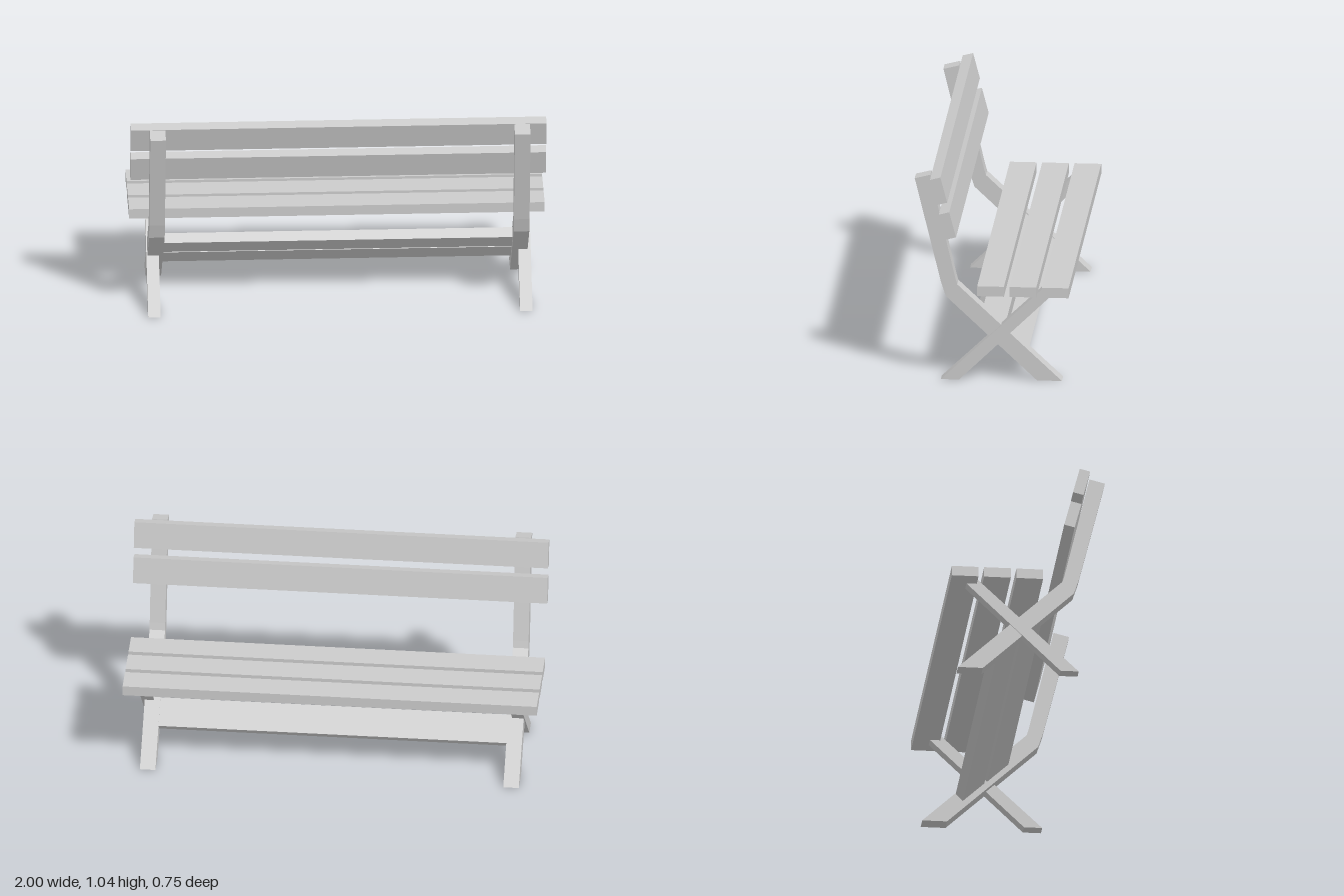
import * as THREE from 'three';

const material = new THREE.MeshStandardMaterial({ color: 0xcccccc, flatShading: true });

// Side outline given as [z, y] points, extruded between x0 and x1
function sidePart(name, points, x0, x1) {
  const shape = new THREE.Shape(points.map(([z, y]) => new THREE.Vector2(z, y)));
  const geometry = new THREE.ExtrudeGeometry(shape, { depth: x1 - x0, bevelEnabled: false });
  geometry.rotateY(-Math.PI / 2).translate(x1, 0, 0);
  const mesh = new THREE.Mesh(geometry, material);
  mesh.name = name;
  return mesh;
}

// Plank centred at (z, y), tilted about the x axis
function plank(name, x0, x1, height, depth, y, z, tilt = 0) {
  const mesh = new THREE.Mesh(new THREE.BoxGeometry(x1 - x0, height, depth), material);
  mesh.position.set((x0 + x1) / 2, y, z);
  mesh.rotation.x = tilt;
  mesh.name = name;
  return mesh;
}

export function createModel() {
  const bench = new THREE.Group();
  bench.name = 'bench';

  // Bent posts: backrest support running down into the far foot
  const post = [
    [0.375, 1.005], [0.3, 1.024], [0.18, 0.51], [0.17, 0.475], [-0.335, 0],
    [-0.215, 0], [0.225, 0.415], [0.25, 0.492],
  ];
  bench.add(sidePart('rightPost', post, -0.91, -0.835));
  bench.add(sidePart('leftPost', post, 0.845, 0.92));

  // Straight legs crossing the posts, ending inside the outer seat slat
  const leg = [[0.248, 0], [0.16, 0], [-0.323, 0.47], [-0.246, 0.47]];
  bench.add(sidePart('rightCrossLeg', leg, -0.915, -0.855));
  bench.add(sidePart('leftCrossLeg', leg, 0.875, 0.935));

  // Seat slats
  for (const z of [0.003, -0.153, -0.309]) {
    bench.add(plank('seatSlat', -1, 1, 0.05, 0.129, 0.468, z));
  }

  // Backrest slats, leaning with the posts
  for (const [y, z] of [[0.967, 0.2535], [0.793, 0.211]]) {
    bench.add(plank('backSlat', -1, 1, 0.13, 0.052, y, z, 0.255));
  }

  // Pair of stretcher boards between the posts, in line with their lower part
  for (const [y, z] of [[0.286, 0.013], [0.179, -0.104]]) {
    bench.add(plank('stretcherBoard', -0.835, 0.845, 0.142, 0.05, y, z, 0.817));
  }
  return bench;
}
